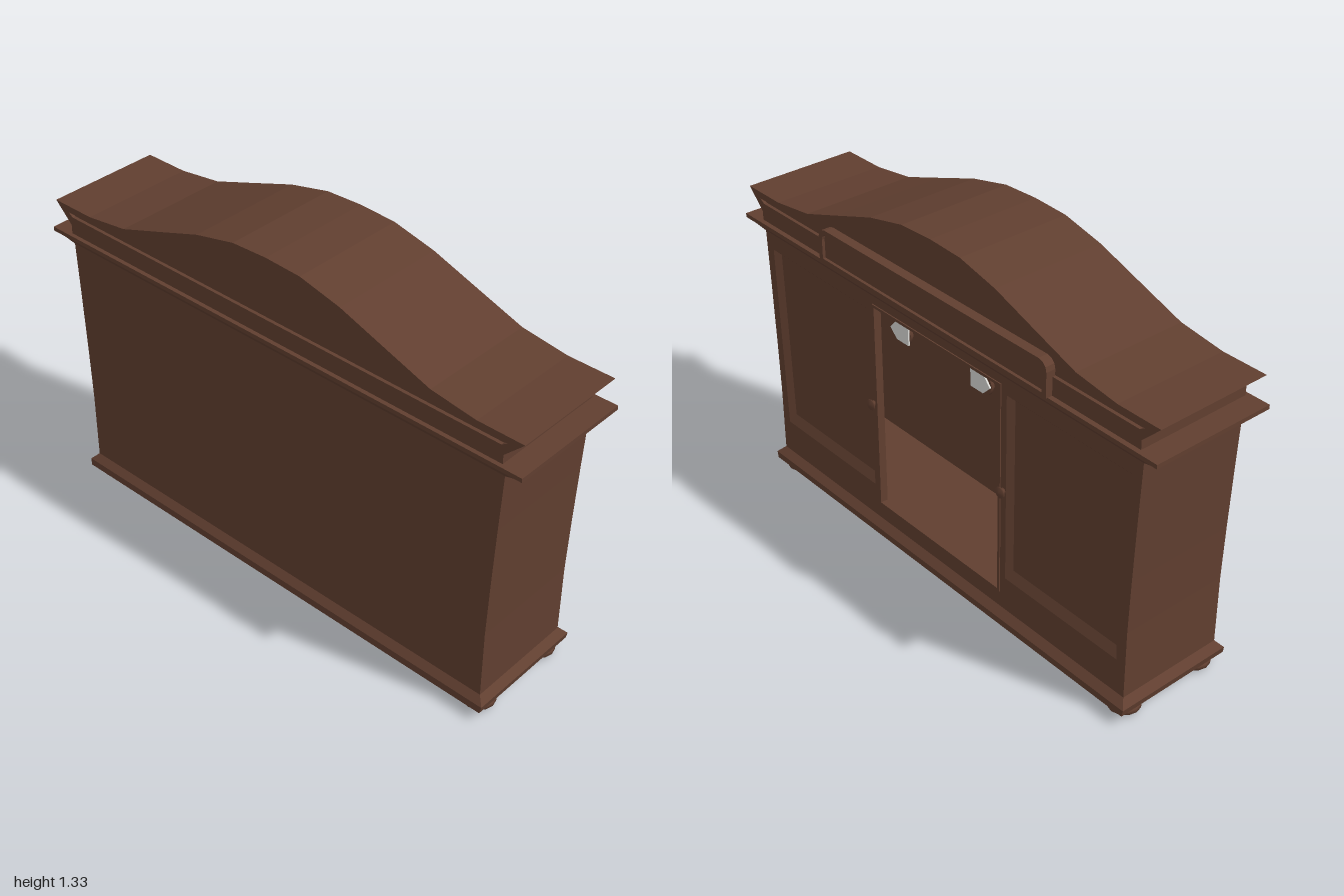
import * as THREE from 'three';

const mat = (name, color) => {
  const m = new THREE.MeshStandardMaterial({ color, side: THREE.DoubleSide });
  m.name = name;
  return m;
};

// Joins equal-length rings of [x, y, z] points with flat faces; optional convex caps
function loft(rings, capFirst = true, capLast = true) {
  const pos = [];
  const n = rings[0].length;
  const tri = (a, b, c) => pos.push(...a, ...b, ...c);
  for (let r = 0; r + 1 < rings.length; r++) {
    for (let i = 0; i < n; i++) {
      const j = (i + 1) % n, A = rings[r], B = rings[r + 1];
      tri(A[i], A[j], B[j]);
      tri(A[i], B[j], B[i]);
    }
  }
  const first = rings[0], last = rings[rings.length - 1];
  for (let i = 1; i + 1 < n; i++) {
    if (capFirst) tri(first[0], first[i + 1], first[i]);
    if (capLast) tri(last[0], last[i], last[i + 1]);
  }
  const g = new THREE.BufferGeometry();
  g.setAttribute('position', new THREE.Float32BufferAttribute(pos, 3));
  g.computeVertexNormals();
  return g;
}

// Horizontal rectangle at height y, for mouldings that run around the cabinet
const rect = ([y, hx, z0, z1]) => [[-hx, y, z1], [hx, y, z1], [hx, y, z0], [-hx, y, z0]];

const shape = (pts) => new THREE.Shape(pts.map(([x, y]) => new THREE.Vector2(x, y)));
const mirror = (half) => [...half, ...half.filter((p) => p[0] !== 0).map(([x, y]) => [-x, y]).reverse()];

// Extrudes an outline (with holes) between two z values
function slab(outline, z0, z1, holes = []) {
  const s = shape(outline);
  holes.forEach((h) => s.holes.push(new THREE.Path(h.map(([x, y]) => new THREE.Vector2(x, y)))));
  const g = new THREE.ExtrudeGeometry(s, { depth: z1 - z0, bevelEnabled: false });
  return g.translate(0, 0, z0);
}

export function createModel() {
  const group = new THREE.Group();
  const wood = mat('brown wood', 0x613f30);
  const pale = mat('pale grey', 0xdcdcd8);
  const add = (name, geo, material = wood, x = 0, y = 0, z = 0) => {
    const m = new THREE.Mesh(geo, material);
    m.name = name;
    m.position.set(x, y, z);
    group.add(m);
    return m;
  };

  // Bun feet
  const footProfile = [[0, 0], [0.042, 0], [0.056, 0.013], [0.056, 0.027], [0.045, 0.042], [0, 0.042]]
    .map(([r, y]) => new THREE.Vector2(r, y));
  for (const x of [-0.862, 0.862]) for (const z of [-0.155, 0.16]) {
    add('foot', new THREE.LatheGeometry(footProfile, 12), wood, x, 0, z);
  }

  // Flared base moulding
  add('base', loft([
    [0.04, 0.92, -0.225, 0.235], [0.065, 0.925, -0.225, 0.232],
    [0.09, 0.9, -0.2, 0.21], [0.1, 0.9, -0.2, 0.21],
  ].map(rect)));

  // Body shell with gently flared ends
  const flare = [[0.9, 0.09], [0.9, 0.35], [0.906, 0.55], [0.915, 0.78], [0.925, 1]];
  const body = mirror(flare);
  const opening = [[-0.31, 0.16], [0.31, 0.16], [0.31, 0.95], [-0.31, 0.95]];
  const doorOuter = [[0.345, 0.22], [0.862, 0.22], [0.885, 0.93], [0.345, 0.93]];
  const doorInner = [[0.365, 0.255], [0.842, 0.255], [0.864, 0.912], [0.365, 0.912]];
  const flip = (pts, s) => pts.map(([x, y]) => [x * s, y]);
  add('plainPanel', slab(body, 0.19, 0.21));
  add('doorFrame', slab(body, -0.2, -0.175, [opening, flip(doorOuter, 1), flip(doorOuter, -1)]));
  for (const s of [1, -1]) {
    const wall = [...flare, ...flare.map(([x, y]) => [x - 0.02, y]).reverse()];
    add('sideWall', slab(flip(wall, s), -0.175, 0.19));
  }

  // Door panels with sloping edges, and knobs
  const knobProfile = [[0.012, 0], [0.008, 0.006], [0.02, 0.012], [0.02, 0.017], [0, 0.022]]
    .map(([r, y]) => new THREE.Vector2(r, y));
  for (const s of [1, -1]) {
    const at = (pts, z) => flip(pts, s).map(([x, y]) => [x, y, z]);
    add('doorPanel', loft([at(doorOuter, -0.2), at(doorInner, -0.182)], false, true));
    add('knob', new THREE.LatheGeometry(knobProfile, 10), wood, 0.332 * s, 0.565, -0.2)
      .rotation.x = -Math.PI / 2;
  }

  // Thin moulding around the central opening
  const rim = [[-0.32, 0.15], [0.32, 0.15], [0.32, 0.96], [-0.32, 0.96]];
  add('openingTrim', slab(rim, -0.204, -0.2, [opening]));

  // Rail under the ceiling and pointed pale fittings
  add('innerRail', new THREE.BoxGeometry(1.78, 0.07, 0.02), wood, 0, 0.96, -0.02);
  for (const s of [1, -1]) {
    const plate = [[0.155, 0.867], [0.215, 0.867], [0.248, 0.9], [0.215, 0.938], [0.155, 0.938]];
    add('fittingPlate', slab(flip(plate, s), -0.184, -0.178), pale);
    add('fittingHousing', new THREE.CylinderGeometry(0.05, 0.05, 0.012, 8), wood, 0.2 * s, 0.902, -0.171)
      .rotation.x = Math.PI / 2;
  }

  // Cornice
  add('cornice', loft([
    [0.99, 0.925, -0.2, 0.21], [1.02, 0.985, -0.222, 0.228],
    [1.022, 1, -0.228, 0.235], [1.037, 1, -0.228, 0.235],
  ].map(rect)));

  // Arched pediment with a recessed field on both faces
  const arch = [[0.82, 1.14], [0.65, 1.163], [0.48, 1.222], [0.3, 1.285], [0.14, 1.322], [0, 1.328]];
  const outline = mirror([[0.92, 1.037], [0.92, 1.07], [0.99, 1.14], ...arch]);
  const field = mirror([[0.91, 1.102], [0.93, 1.115], ...arch.map(([x, y]) => [x, y - 0.024])]);
  add('pediment', slab(outline, -0.198, 0.208));
  add('pedimentFrame', slab(outline, 0.208, 0.22, [field]));
  add('pedimentFrame', slab(outline, -0.21, -0.198, [field]));

  // Raised board with rounded top corners on the door side
  const board = (hx, y0, y1, r) => mirror([
    [hx, y0], [hx, y1 - r], [hx - r * 0.13, y1 - r * 0.5], [hx - r * 0.5, y1 - r * 0.13], [hx - r, y1],
  ]);
  add('boardPanel', slab(board(0.555, 1.037, 1.16, 0.035), -0.224, -0.2));
  add('boardFrame', slab(board(0.555, 1.037, 1.16, 0.035), -0.235, -0.224,
    [board(0.537, 1.05, 1.145, 0.025)]));

  return group;
}
